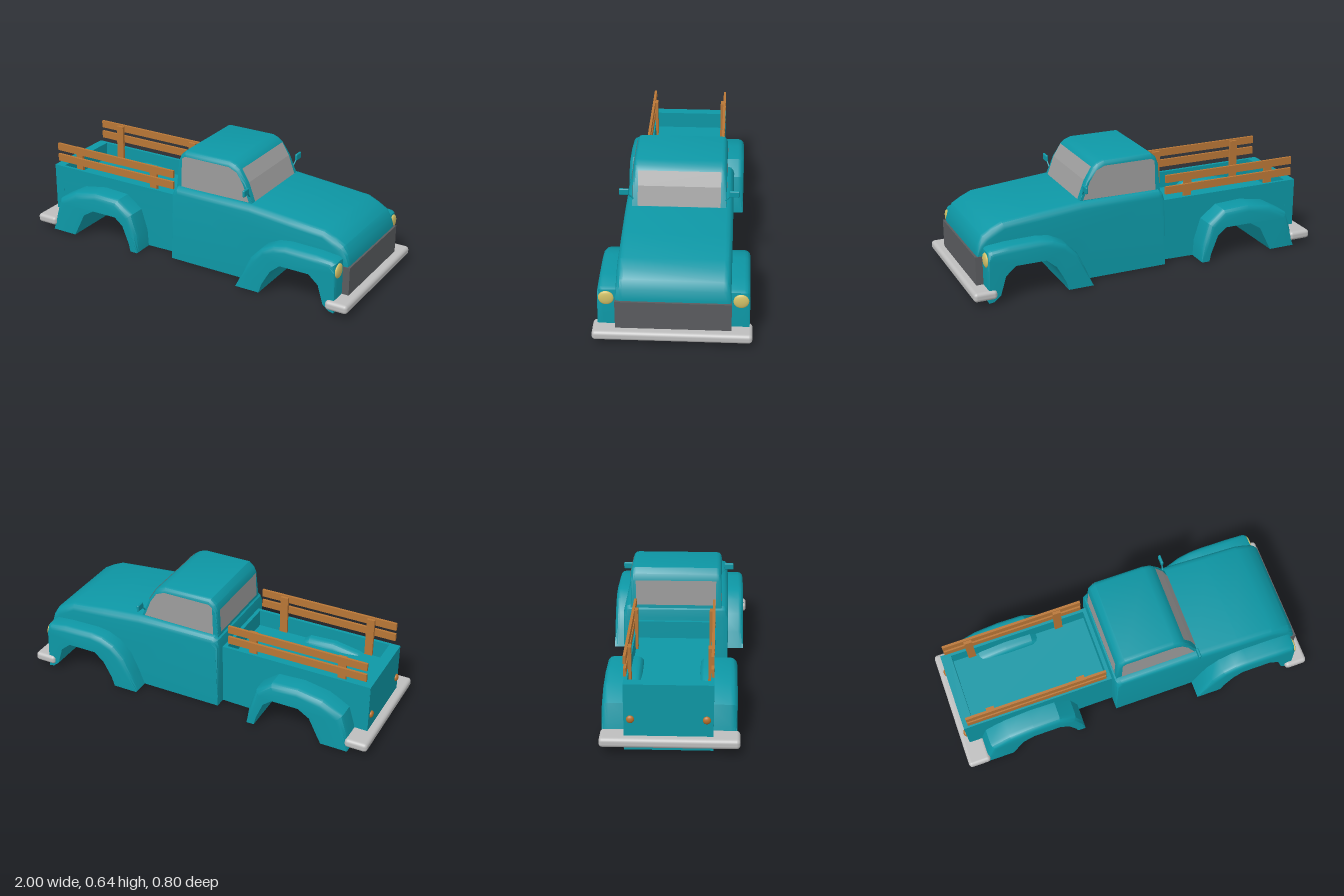
import * as THREE from 'three';
import { toCreasedNormals } from 'three/addons/utils/BufferGeometryUtils.js';
import { RoundedBoxGeometry } from 'three/addons/geometries/RoundedBoxGeometry.js';

function makeMaterial(name, color, side = THREE.FrontSide) {
  const m = new THREE.MeshStandardMaterial({ color, side });
  m.name = name;
  return m;
}

// Prism of a counter-clockwise side profile between z0 and z1.
// Points are [x, y, k]; k scales how far the rounded side edge pulls the point inward.
function bevelPrism(points, z0, z1, bevel) {
  const n = points.length;
  const inward = points.map(([x, y, k = 0], i) => {
    const [ax, ay] = points[(i + n - 1) % n], [bx, by] = points[(i + 1) % n];
    const n1 = new THREE.Vector2(y - ay, ax - x).normalize();
    const n2 = new THREE.Vector2(by - y, x - bx).normalize();
    const m = n1.clone().add(n2);
    return m.multiplyScalar(-k / Math.max(0.6, 1 + n1.dot(n2)));
  });
  const steps = bevel > 0 ? [0, 30, 60, 90].map(d => d * Math.PI / 180) : [Math.PI / 2];
  const half = steps.map(a => [bevel * (1 - Math.cos(a)), bevel * (1 - Math.sin(a))]);
  const layers = [
    ...half.map(([d, inset]) => [z0 + d, inset]),
    ...half.slice().reverse().map(([d, inset]) => [z1 - d, inset]),
  ];
  const pos = [], idx = [];
  layers.forEach(([z, inset]) => points.forEach(([x, y], i) =>
    pos.push(x + inward[i].x * inset, y + inward[i].y * inset, z)));
  const top = (layers.length - 1) * n;
  for (let j = 0; j < layers.length - 1; j++) {
    for (let i = 0; i < n; i++) {
      const a = j * n + i, b = j * n + (i + 1) % n;
      idx.push(a, b, b + n, a, b + n, a + n);
    }
  }
  const cap = points.map((p, i) => new THREE.Vector2(pos[i * 3], pos[i * 3 + 1]));
  for (const [a, b, c] of THREE.ShapeUtils.triangulateShape(cap, [])) {
    idx.push(c, b, a, top + a, top + b, top + c);
  }
  const g = new THREE.BufferGeometry();
  g.setAttribute('position', new THREE.Float32BufferAttribute(pos, 3));
  g.setIndex(idx);
  return toCreasedNormals(g, 0.55);
}

// Thin flat panel from corner points, visible from both sides
function panel(corners) {
  const g = new THREE.BufferGeometry();
  g.setAttribute('position', new THREE.Float32BufferAttribute(corners.flat(), 3));
  const idx = [];
  for (let i = 1; i < corners.length - 1; i++) idx.push(0, i, i + 1);
  g.setIndex(idx);
  g.computeVertexNormals();
  return g;
}

export function createModel() {
  const teal = makeMaterial('teal paint', 0x0d97a5);
  const glass = makeMaterial('grey glass', 0x9c9c9c, THREE.DoubleSide);
  const dark = makeMaterial('dark grille', 0x5a5c5f);
  const chrome = makeMaterial('bumper metal', 0xbebebe);
  const wood = makeMaterial('wood', 0xb87636);
  const lampYellow = makeMaterial('headlight yellow', 0xd2c168);
  const amber = makeMaterial('tail light amber', 0xb8702c);

  const model = new THREE.Group();
  model.name = 'pickupTruck';
  const add = (name, geometry, material, x = 0, y = 0, z = 0) => {
    const mesh = new THREE.Mesh(geometry, material);
    mesh.name = name;
    mesh.position.set(x, y, z);
    model.add(mesh);
    return mesh;
  };
  const box = (name, mat, x0, x1, y0, y1, z0, z1) => add(name,
    new THREE.BoxGeometry(x1 - x0, y1 - y0, z1 - z0), mat, (x0 + x1) / 2, (y0 + y1) / 2, (z0 + z1) / 2);
  const ZC = -0.006, BED = -0.01;

  // Wheel arch openings, listed from rear to front
  const frontArch = [[0.485, 0.01], [0.5, 0.06], [0.55, 0.15], [0.605, 0.197],
    [0.77, 0.197], [0.825, 0.15], [0.855, 0.05], [0.89, 0.02]];
  const rearArch = [[-0.745, 0.012], [-0.72, 0.06], [-0.675, 0.15], [-0.61, 0.19],
    [-0.46, 0.19], [-0.41, 0.15], [-0.37, 0.05], [-0.36, 0.005]];

  // Lower cab and hood
  add('cabAndHood', bevelPrism([
    [-0.115, 0.01], ...frontArch, [0.948, 0.012], [0.945, 0.25, 0.2], [0.935, 0.3, 0.6],
    [0.91, 0.343, 1], [0.86, 0.373, 1], [0.8, 0.4, 1], [0.6, 0.418, 1], [0.37, 0.438, 1],
    [-0.085, 0.438, 1], [-0.108, 0.42, 1], [-0.115, 0.38, 0.4],
  ], ZC - 0.284, ZC + 0.284, 0.036), teal);

  // Upper cab
  add('cabRoof', bevelPrism([
    [-0.1, 0.42], [0.372, 0.42], [0.364, 0.44], [0.327, 0.54, 0.3], [0.285, 0.61, 1], [0.262, 0.628, 1],
    [0.225, 0.642, 1], [-0.05, 0.642, 1], [-0.08, 0.615, 1], [-0.092, 0.58, 0.5],
  ], ZC - 0.246, ZC + 0.246, 0.028), teal);

  // Windows
  for (const s of [1, -1]) {
    const z = ZC + s * 0.248;
    add('sideWindow', panel([[-0.07, 0.437, z], [0.348, 0.441, z], [0.308, 0.54, z], [0.272, 0.594, z],
      [0.225, 0.615, z], [-0.045, 0.615, z], [-0.064, 0.6, z]]), glass);
  }
  const w = 0.217;
  const windshield = [[0.368, 0.441], [0.331, 0.541], [0.289, 0.609]];
  for (let i = 0; i < 2; i++) {
    const [a, b] = [windshield[i], windshield[i + 1]];
    add('windshield', panel([[...a, ZC + w], [...a, ZC - w], [...b, ZC - w], [...b, ZC + w]]), glass);
  }
  add('rearWindow', panel([[-0.101, 0.445, ZC - w], [-0.101, 0.445, ZC + w],
    [-0.095, 0.582, ZC + w], [-0.095, 0.582, ZC - w]]), glass);

  // Fenders
  const frontFender = [[0.345, 0.01], ...frontArch, [0.918, 0.015], [0.918, 0.24, 0.3], [0.912, 0.283, 1],
    [0.895, 0.293, 1], [0.8, 0.302, 1], [0.63, 0.305, 1], [0.56, 0.295, 1], [0.49, 0.262, 1],
    [0.425, 0.195, 1], [0.38, 0.1, 0.8]];
  const rearFender = [[-0.895, 0.012], ...rearArch, [-0.316, 0.005], [-0.322, 0.1, 0.8], [-0.36, 0.22, 1],
    [-0.45, 0.29, 1], [-0.6, 0.297, 1], [-0.74, 0.272, 1], [-0.85, 0.21, 1], [-0.88, 0.11, 0.8]];
  for (const s of [1, -1]) {
    const span = (c, a, b) => [Math.min(c + s * a, c + s * b), Math.max(c + s * a, c + s * b)];
    add('frontFender', bevelPrism(frontFender, ...span(ZC, 0.22, 0.378), 0.03), teal);
    add('rearFender', bevelPrism(rearFender, ...span(BED, 0.145, 0.336), 0.035), teal);
  }

  // Cargo bed: base, side walls, tailgate and front wall
  add('bedBase', bevelPrism([[-0.955, 0.012], ...rearArch, [-0.11, 0.01], [-0.11, 0.265],
    [-0.955, 0.265]], BED - 0.218, BED + 0.218, 0), teal);
  for (const s of [1, -1]) {
    const z = BED + s * 0.211;
    box('bedSideWall', teal, -0.955, -0.11, 0.26, 0.36, z - 0.009, z + 0.009);
  }
  box('tailgate', teal, -0.957, -0.9, 0.012, 0.36, BED - 0.219, BED + 0.219);
  box('bedFrontWall', teal, -0.135, -0.11, 0.26, 0.36, BED - 0.219, BED + 0.219);

  // Wooden stake rails
  for (const s of [1, -1]) {
    const z = BED + s * 0.212;
    for (const y of [0.39, 0.455]) box('woodRail', wood, -0.93, -0.145, y, y + 0.042, z - 0.007, z + 0.007);
    for (const x of [-0.79, -0.285]) {
      const pz = BED + s * 0.197;
      box('woodPost', wood, x - 0.022, x + 0.022, 0.27, 0.49, pz - 0.008, pz + 0.008);
    }
  }

  // Grille and bumpers
  box('grille', dark, 0.918, 0.956, 0.075, 0.24, ZC - 0.288, ZC + 0.288);
  add('frontBumper', new RoundedBoxGeometry(0.125, 0.05, 0.795, 3, 0.019), chrome, 0.9375, 0.061, -0.001);
  add('rearBumper', new RoundedBoxGeometry(0.125, 0.05, 0.69, 3, 0.019), chrome, -0.9375, 0.063, -0.005);

  // Lamps and mirrors
  for (const s of [1, -1]) {
    const lamp = add('headlight', new THREE.SphereGeometry(0.039, 24, 16), lampYellow, 0.916, 0.237, ZC + s * 0.333);
    lamp.scale.x = 0.3;
    const tail = add('tailLight', new THREE.SphereGeometry(0.02, 16, 12), amber, -0.96, 0.177, BED + s * 0.186);
    tail.scale.x = 0.6;

    add('mirror', new RoundedBoxGeometry(0.014, 0.037, 0.054, 2, 0.006), teal, 0.352, 0.515, ZC + s * 0.288);
    const arm = new THREE.LineCurve3(new THREE.Vector3(0.345, 0.455, ZC + s * 0.225),
      new THREE.Vector3(0.352, 0.505, ZC + s * 0.27));
    add('mirrorArm', new THREE.TubeGeometry(arm, 1, 0.004, 6), teal);
  }
  return model;
}
